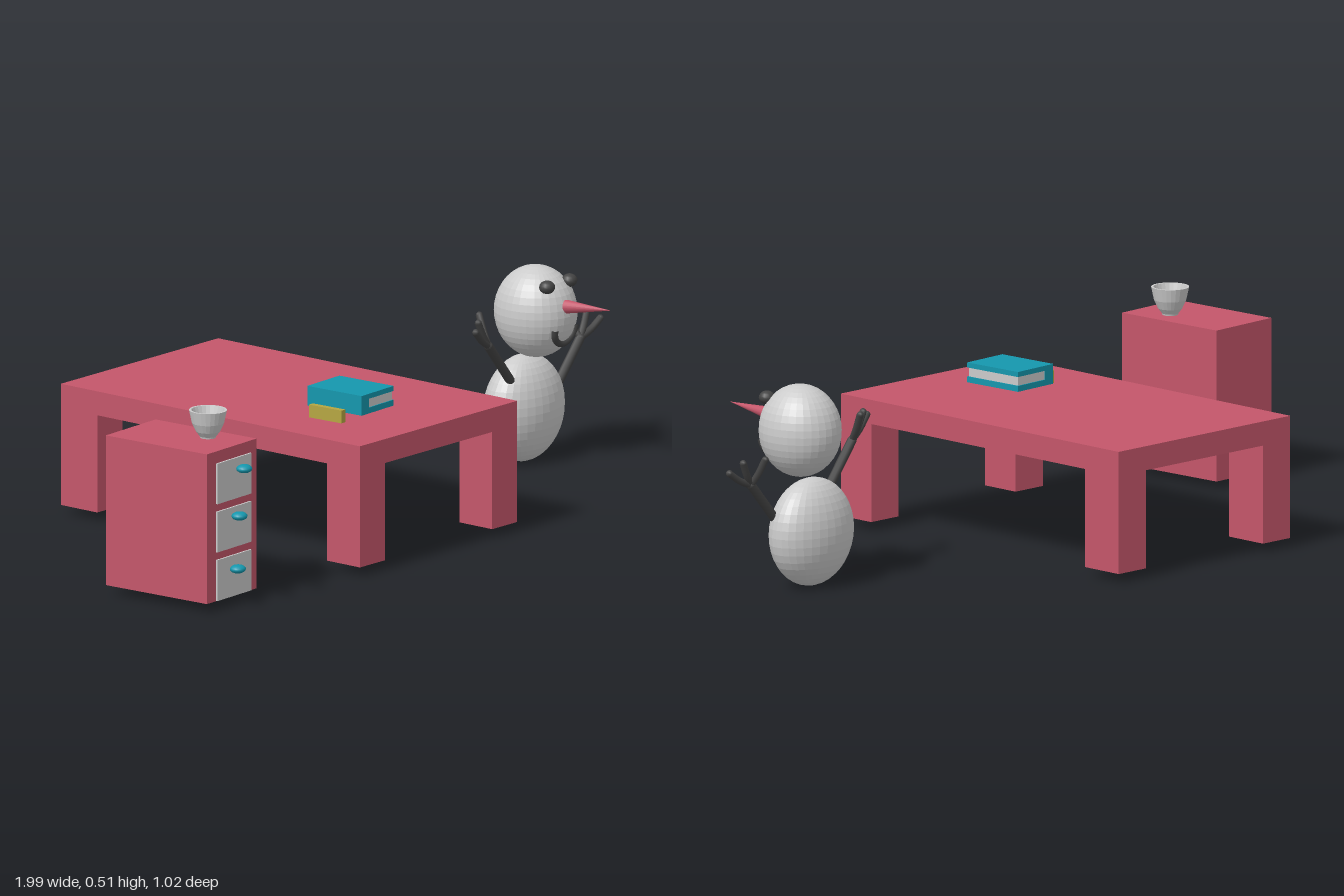
import * as THREE from 'three';

const mat = (color, extra = {}) => {
  const m = new THREE.MeshStandardMaterial({ color, ...extra });
  return m;
};
const red = mat(0xc4566a);
const teal = mat(0x1597ad);
const yellow = mat(0xb5a642);
const dark = mat(0x444444);
const grey = mat(0xcccccc);
const greyFlat = mat(0xcccccc, { flatShading: true });
const greyOpen = mat(0xcccccc, { flatShading: true, side: THREE.DoubleSide });

function add(parent, name, geometry, material, x = 0, y = 0, z = 0) {
  const mesh = new THREE.Mesh(geometry, material);
  mesh.name = name;
  mesh.position.set(x, y, z);
  parent.add(mesh);
  return mesh;
}

// Box given by its lower and upper limits on each axis
function box(parent, name, material, [x0, x1], [y0, y1], [z0, z1]) {
  return add(parent, name, new THREE.BoxGeometry(x1 - x0, y1 - y0, z1 - z0), material,
    (x0 + x1) / 2, (y0 + y1) / 2, (z0 + z1) / 2);
}

function ellipsoid(parent, name, material, [x, y, z], [rx, ry, rz], w = 32, h = 20) {
  return add(parent, name, new THREE.SphereGeometry(1, w, h).scale(rx, ry, rz), material, x, y, z);
}

function group(parent, name) {
  const g = new THREE.Group();
  g.name = name;
  parent.add(g);
  return g;
}

function buildTable(root) {
  const table = group(root, 'table');
  table.position.x = -0.14;
  table.rotation.y = -0.05;
  const hx = 0.305, hz = 0.493, legW = 0.097;
  box(table, 'tableTop', red, [-hx, hx], [0.275, 0.337], [-hz, hz]);
  for (const sx of [-1, 1]) for (const sz of [-1, 1]) {
    const depth = sz > 0 ? 0.108 : 0.12;
    add(table, 'tableLeg', new THREE.BoxGeometry(legW, 0.252, depth), red,
      sx * (hx - legW / 2), 0.149, sz * (hz - depth / 2));
  }
}

function buildCabinet(root) {
  const cabinet = group(root, 'cabinet');
  box(cabinet, 'cabinetBody', red, [-1, -0.795], [0.023, 0.411], [0.08, 0.4]);
  // Drawers with their knobs; the top one stands out a little further
  const rows = [[0.275, 0.38, 0.36, 0.44], [0.15, 0.255, 0.235, 0.425], [0.024, 0.13, 0.097, 0.42]];
  for (const [y0, y1, knobY, knobZ] of rows) {
    box(cabinet, 'drawerFront', grey, [-0.963, -0.822], [y0, y1], [0.39, 0.405]);
    ellipsoid(cabinet, 'drawerKnob', teal, [-0.898, knobY, knobZ], [0.021, 0.011, 0.02], 16, 10);
  }
  // Flared cup on the cabinet, with an open hollow
  const profile = [[0, 0.411], [0.02, 0.411], [0.021, 0.415], [0.031, 0.428], [0.041, 0.45],
    [0.048, 0.483], [0.042, 0.483], [0.034, 0.455], [0.024, 0.435], [0, 0.43]];
  add(cabinet, 'cup', new THREE.LatheGeometry(
    profile.map(([r, y]) => new THREE.Vector2(r, y)), 24), greyOpen, -0.86, 0, 0.296);
}

function buildBook(root) {
  const book = group(root, 'book');
  const x = [-0.26, -0.128], z = [0.15, 0.322];
  box(book, 'lowerCover', teal, x, [0.35, 0.365], z);
  box(book, 'upperCover', teal, x, [0.388, 0.401], z);
  box(book, 'spine', teal, [-0.26, -0.23], [0.365, 0.388], z);
  box(book, 'pages', grey, [-0.23, -0.131], [0.365, 0.388], [0.153, 0.319]);
  box(root, 'yellowBlock', yellow, [-0.312, -0.296], [0.337, 0.37], [0.195, 0.298]);
}

// Round stick through a few points, closed by balls at its ends
function stick(parent, name, points, radius) {
  const path = points.map((p) => new THREE.Vector3(...p));
  add(parent, name, new THREE.TubeGeometry(new THREE.CatmullRomCurve3(path), 8, radius, 8), dark);
  for (const p of [points[0], points[points.length - 1]])
    ellipsoid(parent, name + 'End', dark, p, [radius, radius, radius], 8, 6);
}

function buildSnowman(root) {
  const snowman = group(root, 'snowman');
  ellipsoid(snowman, 'body', greyFlat, [0.722, 0.138, 0.082], [0.132, 0.138, 0.082]);
  ellipsoid(snowman, 'head', greyFlat, [0.725, 0.393, 0.117], [0.101, 0.118, 0.108]);
  for (const x of [0.677, 0.769])
    ellipsoid(snowman, 'eye', dark, [x, 0.474, 0.19], [0.021, 0.017, 0.02], 16, 10);

  // Nose
  const nose = add(snowman, 'nose', new THREE.ConeGeometry(0.021, 0.17, 16), red, 0.72, 0.424, 0.275);
  nose.rotation.x = Math.PI / 2 - 0.08;

  // Smile hugging the front of the head
  const smile = [];
  for (let i = 0; i <= 8; i++) {
    const a = Math.PI * (1 + i / 8);
    const dx = 0.043 * Math.cos(a), y = 0.365 + 0.044 * Math.sin(a);
    const k = 1 - (dx / 0.101) ** 2 - ((y - 0.393) / 0.118) ** 2;
    smile.push(new THREE.Vector3(0.725 + dx, y, 0.117 + 0.108 * Math.sqrt(k)));
  }
  add(snowman, 'smile', new THREE.TubeGeometry(new THREE.CatmullRomCurve3(smile), 20, 0.009, 8), dark);

  // Twig arms with three fingers each
  const arms = [
    { name: 'leftArm', root: [0.825, 0.178, 0.108], hand: [0.915, 0.283, 0.112],
      tips: [[0.985, 0.322, 0.122], [0.952, 0.345, 0.105], [0.906, 0.352, 0.072]] },
    { name: 'rightArm', root: [0.64, 0.222, 0.105], hand: [0.535, 0.338, 0.113],
      tips: [[0.463, 0.39, 0.128], [0.497, 0.405, 0.11], [0.548, 0.41, 0.074]] },
  ];
  for (const { name, root: start, hand, tips } of arms) {
    const arm = group(snowman, name);
    stick(arm, 'forearm', [start, hand], 0.012);
    for (const tip of tips) {
      const mid = tip.map((v, i) => (v + hand[i]) / 2 - (i === 1 ? 0.005 : 0));
      stick(arm, 'finger', [hand, mid, tip], 0.009);
    }
  }
}

export function createModel() {
  const model = new THREE.Group();
  model.name = 'roomSet';
  buildTable(model);
  buildCabinet(model);
  buildBook(model);
  buildSnowman(model);
  return model;
}
